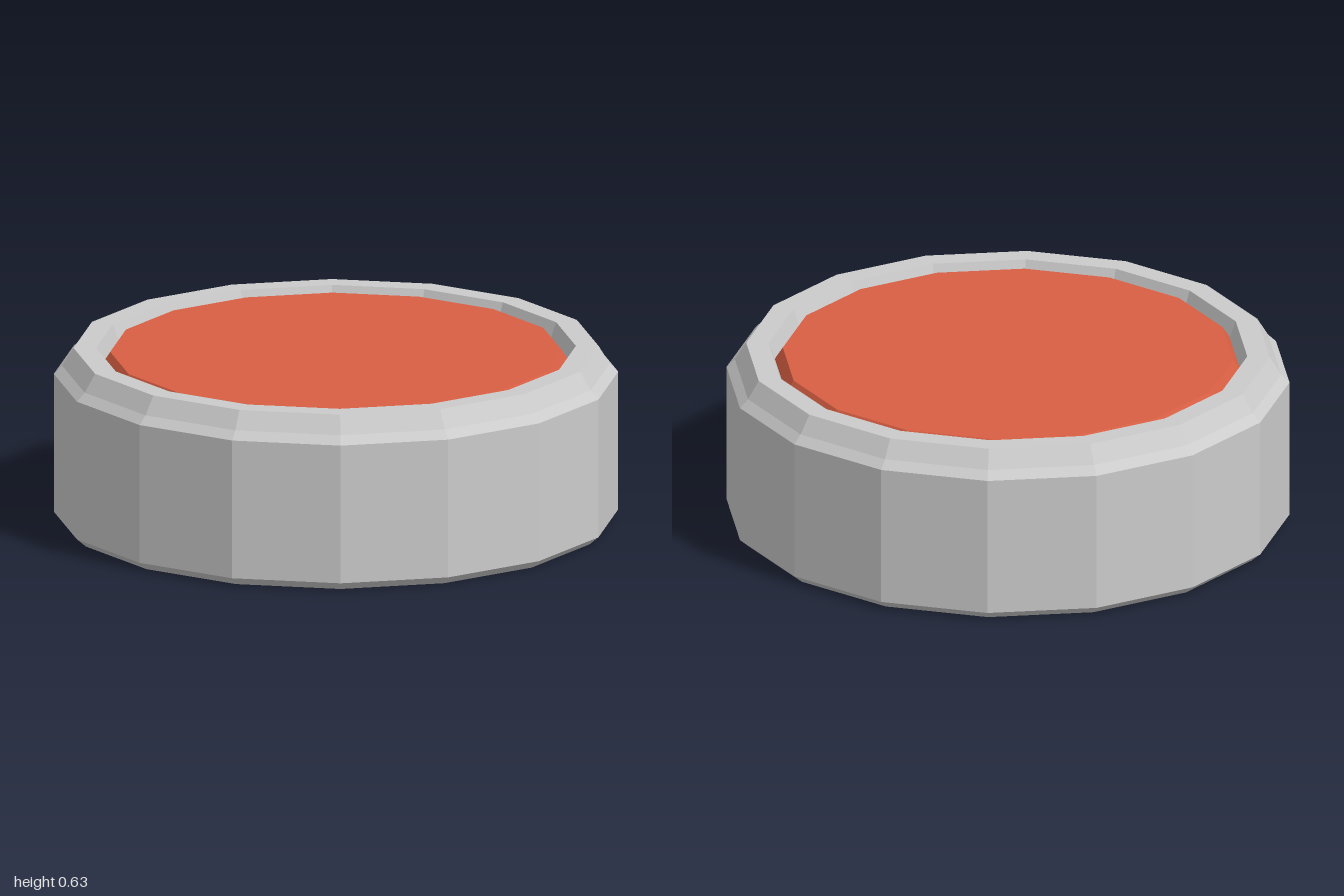
import * as THREE from 'three';

const SIDES = 16;

// Revolve a list of [radius, height] points, running from the bottom outward and up.
function turned(name, color, profile) {
  const geometry = new THREE.LatheGeometry(profile.map(([r, y]) => new THREE.Vector2(r, y)), SIDES);
  const material = new THREE.MeshStandardMaterial({ color, flatShading: true });
  const mesh = new THREE.Mesh(geometry, material);
  mesh.name = name;
  return mesh;
}

export function createModel() {
  const group = new THREE.Group();
  group.name = 'pushButton';

  // Housing with bevelled lower and upper edges
  group.add(turned('housing', 0xcccccc, [
    [0, 0], [0.965, 0], [1, 0.03], [1, 0.535], [0.97, 0.565], [0.8, 0.565],
  ]));

  // Raised rim with a sloping outside and inside
  group.add(turned('rim', 0xcccccc, [
    [0.97, 0.565], [0.93, 0.63], [0.85, 0.63], [0.826, 0.565],
  ]));

  // Coloured cap, bevelled and sunk slightly below the rim
  group.add(turned('cap', 0xd95f43, [
    [0.83, 0.555], [0.826, 0.575], [0.8, 0.615], [0, 0.615],
  ]));

  return group;
}
